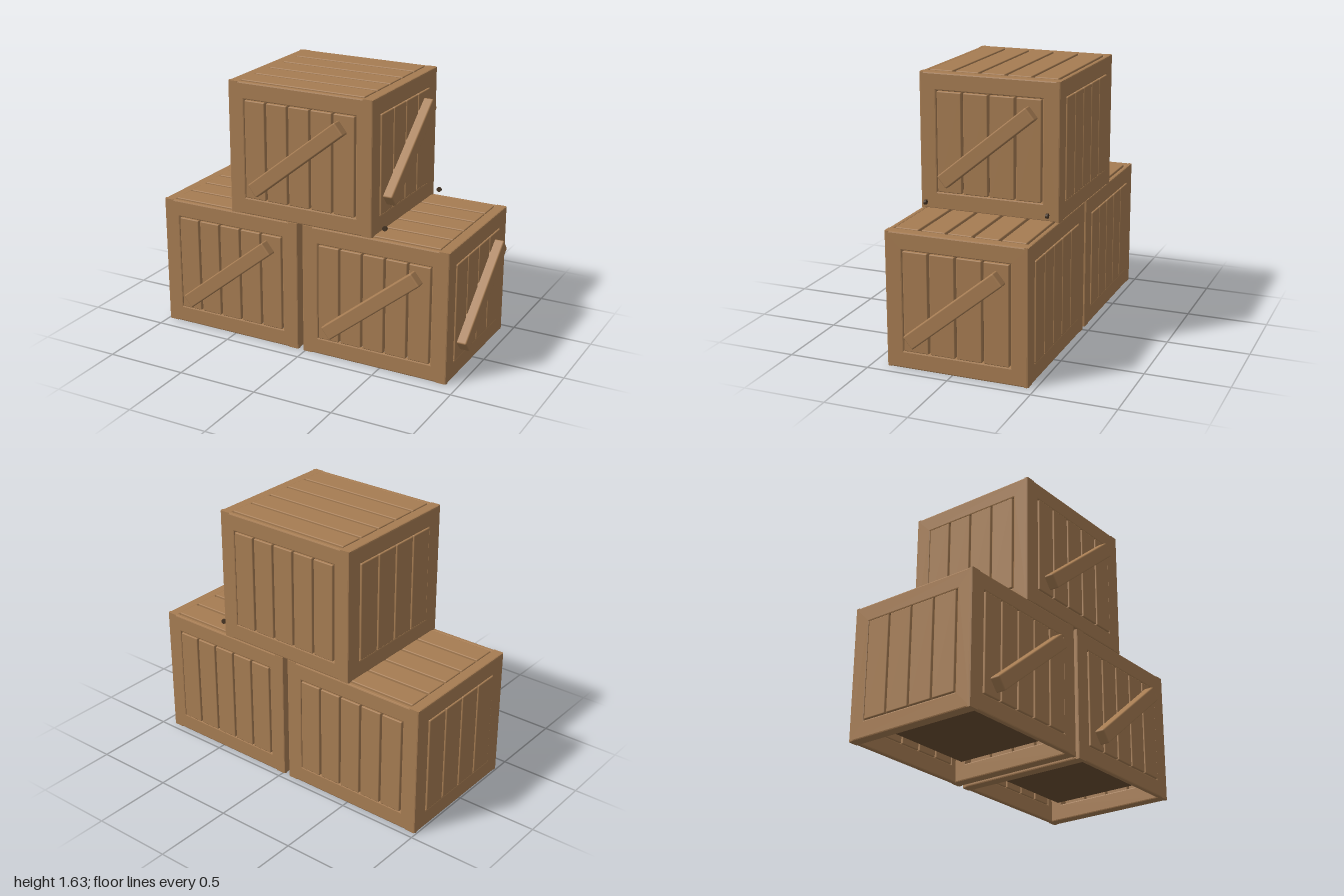
import * as THREE from 'three';
import { RoundedBoxGeometry } from 'three/addons/geometries/RoundedBoxGeometry.js';

const W = 0.945, H = 0.815, D = 0.865; // crate size
const BORDER = 0.105;                  // visible frame width
const PROUD = 0.005;                   // how far planks stand out of the frame

const wood = new THREE.MeshStandardMaterial({ color: 0xa67c52 });
wood.name = 'wood';
const darkWood = new THREE.MeshStandardMaterial({ color: 0x6b4e32 });
darkWood.name = 'darkInterior';
const nailColor = new THREE.MeshStandardMaterial({ color: 0x453424 });
nailColor.name = 'nail';

function add(parent, name, geometry, material, x = 0, y = 0, z = 0) {
  const mesh = new THREE.Mesh(geometry, material);
  mesh.name = name;
  mesh.position.set(x, y, z);
  parent.add(mesh);
  return mesh;
}

const board = (w, h, d, r = 0.006) => new RoundedBoxGeometry(w, h, d, 2, r);

// Rectangular frame with an opening, outer face at z = 0
function frameGeometry(w, h, thickness) {
  const rect = (T, a, b) => new T([
    new THREE.Vector2(-a, -b), new THREE.Vector2(a, -b),
    new THREE.Vector2(a, b), new THREE.Vector2(-a, b)]);
  const shape = rect(THREE.Shape, w / 2, h / 2);
  shape.holes.push(rect(THREE.Path, w / 2 - BORDER, h / 2 - BORDER));
  const bevel = 0.008;
  const geometry = new THREE.ExtrudeGeometry(shape, {
    depth: thickness - 2 * bevel, bevelThickness: bevel, bevelSize: bevel,
    bevelOffset: -bevel, bevelSegments: 2,
  });
  return geometry.translate(0, 0, bevel - thickness);
}

// One crate wall facing +z: frame, upright planks and an optional diagonal brace
function wall(name, width, thickness, planks, brace) {
  const group = new THREE.Group();
  group.name = name;
  add(group, 'frame', frameGeometry(width, H, thickness), wood);
  const pitch = (width - 2 * BORDER) / planks;
  for (let i = 0; i < planks; i++) {
    add(group, 'wallPlank', board(pitch - 0.012, H - 2 * BORDER - 0.004, 0.035), wood,
      (i - (planks - 1) / 2) * pitch, 0, PROUD - 0.0175);
  }
  if (brace) {
    const bar = add(group, 'diagonalBrace', board(brace.length, 0.09, 0.07, 0.009), wood, 0, 0, 0.028);
    bar.rotation.z = THREE.MathUtils.degToRad(brace.angle);
  }
  return group;
}

function crate(name, x, y) {
  const group = new THREE.Group();
  group.name = name;
  group.position.set(x, y + H / 2, -0.0275);

  // Four walls, with braces on the front and the +x side
  const front = wall('frontWall', W, 0.03, 5, { length: 0.742, angle: 38.9 });
  const back = wall('backWall', W, 0.03, 5);
  const left = wall('leftWall', D, 0.07, 4, { length: 0.712, angle: 39.5 });
  const right = wall('rightWall', D, 0.07, 4);
  front.position.z = D / 2;
  back.position.z = -D / 2;
  back.rotation.y = Math.PI;
  left.position.x = W / 2;
  left.rotation.y = Math.PI / 2;
  right.position.x = -W / 2;
  right.rotation.y = -Math.PI / 2;
  group.add(front, back, left, right);

  // Lid planks running across
  const pitch = (D - 0.055) / 5;
  for (let i = 0; i < 5; i++) {
    add(group, 'lidPlank', board(W - 0.135, 0.035, pitch - 0.017), wood,
      0, H / 2 + PROUD - 0.0175, (i - 2) * pitch);
  }

  // Dark core behind the gaps, also seen through the open underside
  add(group, 'darkCore', new THREE.BoxGeometry(W - 2 * BORDER, H - 2 * BORDER, D - 2 * BORDER), darkWood);
  return group;
}

export function createModel() {
  const model = new THREE.Group();
  model.name = 'crateStack';
  model.add(
    crate('lowerRightCrate', -0.52, 0),
    crate('lowerLeftCrate', 0.457, 0),
    crate('upperCrate', -0.03, H),
  );

  // Loose nail heads beside the upper crate
  const nail = new THREE.CylinderGeometry(0.015, 0.015, 0.014, 12).rotateX(Math.PI / 2);
  for (const z of [0.35, -0.408]) add(model, 'nailHead', nail, nailColor, 0.5, 0.868, z);
  return model;
}
